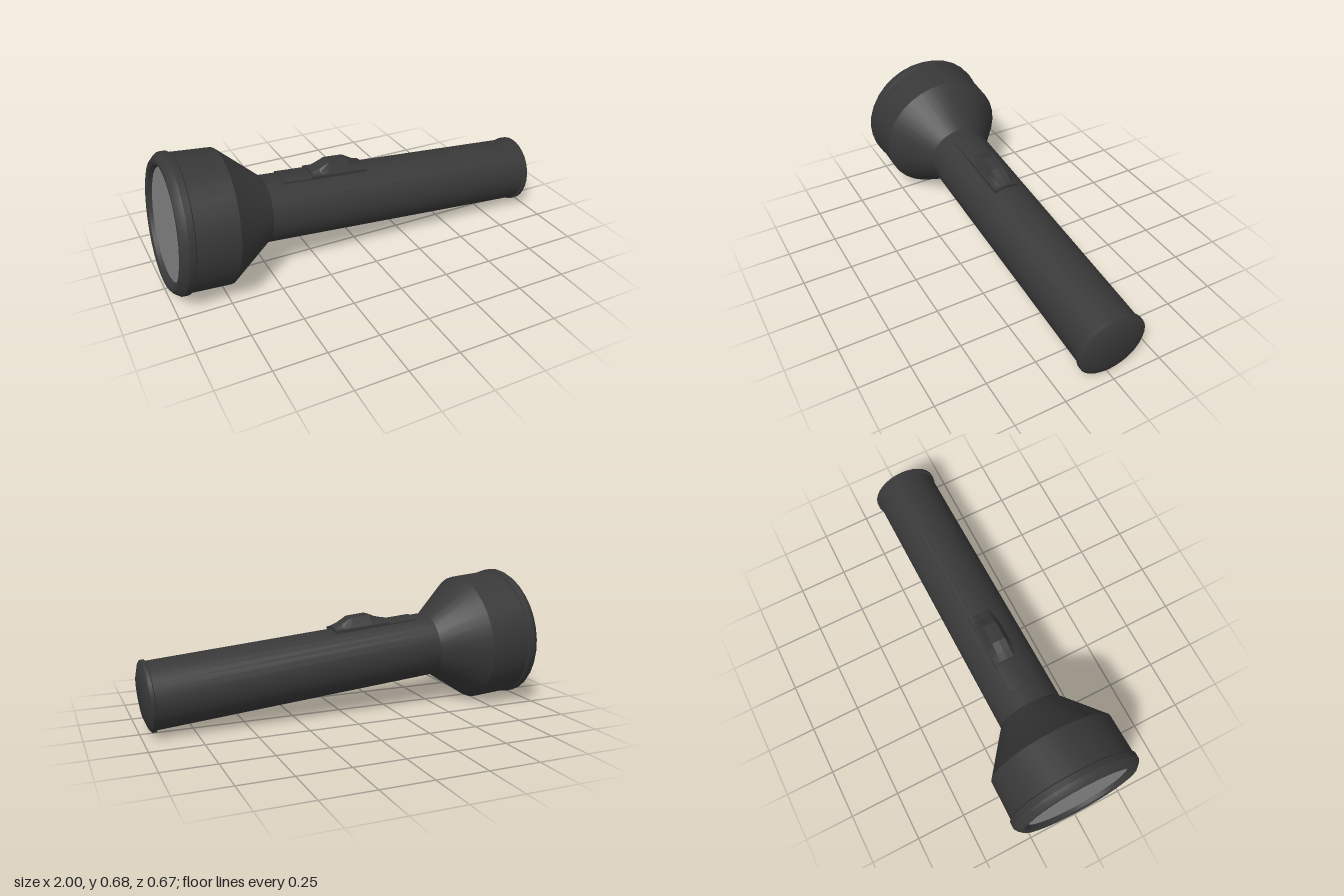
import * as THREE from 'three';
import { toCreasedNormals } from 'three/addons/utils/BufferGeometryUtils.js';

const dark = new THREE.MeshStandardMaterial({ color: 0x383838 });
const darkFlat = new THREE.MeshStandardMaterial({ color: 0x383838, flatShading: true });
const glass = new THREE.MeshStandardMaterial({ color: 0x808080 });

// Turned part along the x axis; profile is a list of [x, radius], x rising on the outside
function turned(name, profile) {
  const points = profile.map(([x, r]) => new THREE.Vector2(r, x));
  const geo = new THREE.LatheGeometry(points, 32);
  geo.rotateZ(-Math.PI / 2);
  const mesh = new THREE.Mesh(toCreasedNormals(geo, 0.45), dark);
  mesh.name = name;
  return mesh;
}

// Joins equal-length cross-sections (each running from -z over the top to +z) and caps both ends
function loft(name, stations, section) {
  const pos = [], idx = [];
  const n = section(stations[0]).length;
  for (const st of stations) for (const [y, z] of section(st)) pos.push(st[0], y, z);
  for (let i = 0; i < stations.length - 1; i++) {
    for (let j = 0; j < n - 1; j++) {
      const a = i * n + j, b = a + 1, c = a + n, d = c + 1;
      idx.push(a, b, c, b, d, c);
    }
  }
  const last = (stations.length - 1) * n;
  for (let j = 1; j < n - 1; j++) {
    idx.push(0, j + 1, j, last, last + j, last + j + 1);
  }
  const geo = new THREE.BufferGeometry();
  geo.setAttribute('position', new THREE.Float32BufferAttribute(pos, 3));
  geo.setIndex(idx);
  const flat = geo.toNonIndexed();
  flat.computeVertexNormals();
  const mesh = new THREE.Mesh(flat, darkFlat);
  mesh.name = name;
  return mesh;
}

// Strip that hugs the round barrel at radius r
const halfWidth = 0.065;
function hugging([, r]) {
  const pts = [[0.13, -halfWidth]];
  for (let k = -4; k <= 4; k++) {
    const z = (halfWidth * k) / 4;
    pts.push([Math.sqrt(r * r - z * z), z]);
  }
  pts.push([0.13, halfWidth]);
  return pts;
}

// Thumb button section: sloped, slightly hollow sides and a narrow crown of height h
function thumb([, h]) {
  const foot = 0.16;
  const half = [[0.13, 0.064], [foot, 0.064], [foot + (h - foot) * 0.42, 0.05], [h - 0.002, 0.034]];
  return [...half.map(([y, z]) => [y, -z]), [h, 0], ...half.reverse()];
}

export function createModel() {
  const group = new THREE.Group();
  group.name = 'flashlight';
  const torch = new THREE.Group();
  torch.name = 'tiltedBody';

  torch.add(
    turned('barrel', [[-0.52, 0.163], [0.955, 0.163]]),
    // Straight bell with a cone down to the barrel
    turned('head', [[-0.92, 0.326], [-0.708, 0.324], [-0.502, 0.165], [-0.495, 0.162]]),
    // Bezel with bevelled lip and recessed inner wall
    turned('bezel', [
      [-0.952, 0.266], [-0.972, 0.278], [-0.978, 0.29], [-0.978, 0.304],
      [-0.962, 0.322], [-0.944, 0.334], [-0.914, 0.334], [-0.908, 0.324],
    ]),
    // Slightly domed end cap
    turned('tailCap', [
      [0.943, 0.16], [0.948, 0.171], [0.966, 0.171], [0.975, 0.158], [0.992, 0.105], [0.994, 0],
    ]),
  );

  const lens = new THREE.Mesh(new THREE.CircleGeometry(0.268, 32), glass);
  lens.name = 'lens';
  lens.rotation.y = -Math.PI / 2;
  lens.position.x = -0.954;
  torch.add(lens);

  // Switch on top of the barrel
  const mid = -0.12;
  torch.add(
    loft('switchTrack', [[-0.412, 0.169], [mid - 0.146, 0.169]], hugging),
    loft('switchBase', [[mid - 0.146, 0.177], [mid + 0.146, 0.177]], hugging),
    loft('switchButton', [
      [mid - 0.138, 0.177], [mid - 0.1, 0.189], [mid - 0.05, 0.214],
      [mid + 0.05, 0.214], [mid + 0.1, 0.189], [mid + 0.138, 0.177],
    ], thumb),
  );

  // Resting pose: the tail sits lower than the head
  torch.rotation.z = -Math.atan(0.0855);
  torch.position.y = 0.266;
  group.add(torch);
  return group;
}
